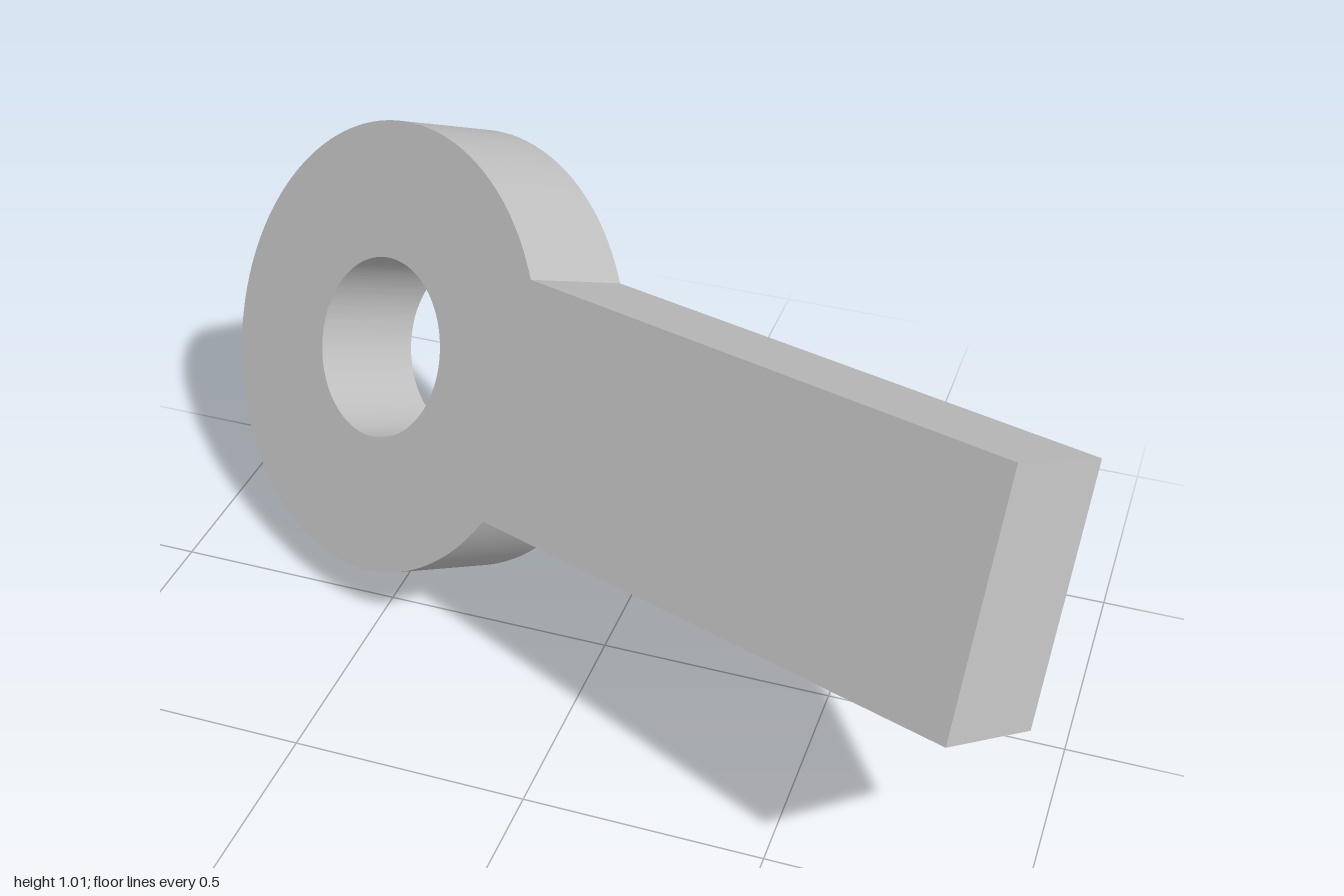
import * as THREE from 'three';
import { toCreasedNormals } from 'three/addons/utils/BufferGeometryUtils.js';

const RING = 0.485, HOLE = 0.194, HALF_WIDTH = 0.2565, LENGTH = 1.619, DEPTH = 0.26;

export function createModel() {
  const group = new THREE.Group();
  group.name = 'eyeLink';

  const grey = new THREE.MeshStandardMaterial({ color: 0xc0c0c0 });
  grey.name = 'grey';

  // Outline: round eye running into a straight flat bar
  const a = Math.asin(HALF_WIDTH / RING);
  const outline = new THREE.Shape();
  outline.absarc(0, 0, RING, a, Math.PI * 2 - a, false);
  outline.lineTo(LENGTH, -HALF_WIDTH);
  outline.lineTo(LENGTH, HALF_WIDTH);
  outline.closePath();

  // Pin hole through the eye
  const hole = new THREE.Path();
  hole.absarc(0, 0, HOLE, 0, Math.PI * 2, true);
  outline.holes.push(hole);

  const geometry = new THREE.ExtrudeGeometry(outline, {
    depth: DEPTH, bevelEnabled: false, curveSegments: 96,
  });
  geometry.translate(0, 0, -DEPTH);
  const link = new THREE.Mesh(toCreasedNormals(geometry, 0.5), grey);
  link.name = 'linkBarWithEye';

  // Tilted pose: u runs along the bar, v across it, n out of its front face
  const u = new THREE.Vector3(0.886, 0.139, 0.443).normalize();
  const n = u.clone().cross(new THREE.Vector3(0.072, 0.906, -0.415)).normalize();
  const v = n.clone().cross(u);
  link.quaternion.setFromRotationMatrix(new THREE.Matrix4().makeBasis(u, v, n));
  link.position.set(-0.57, 0.55, -0.164);
  group.add(link);
  return group;
}
